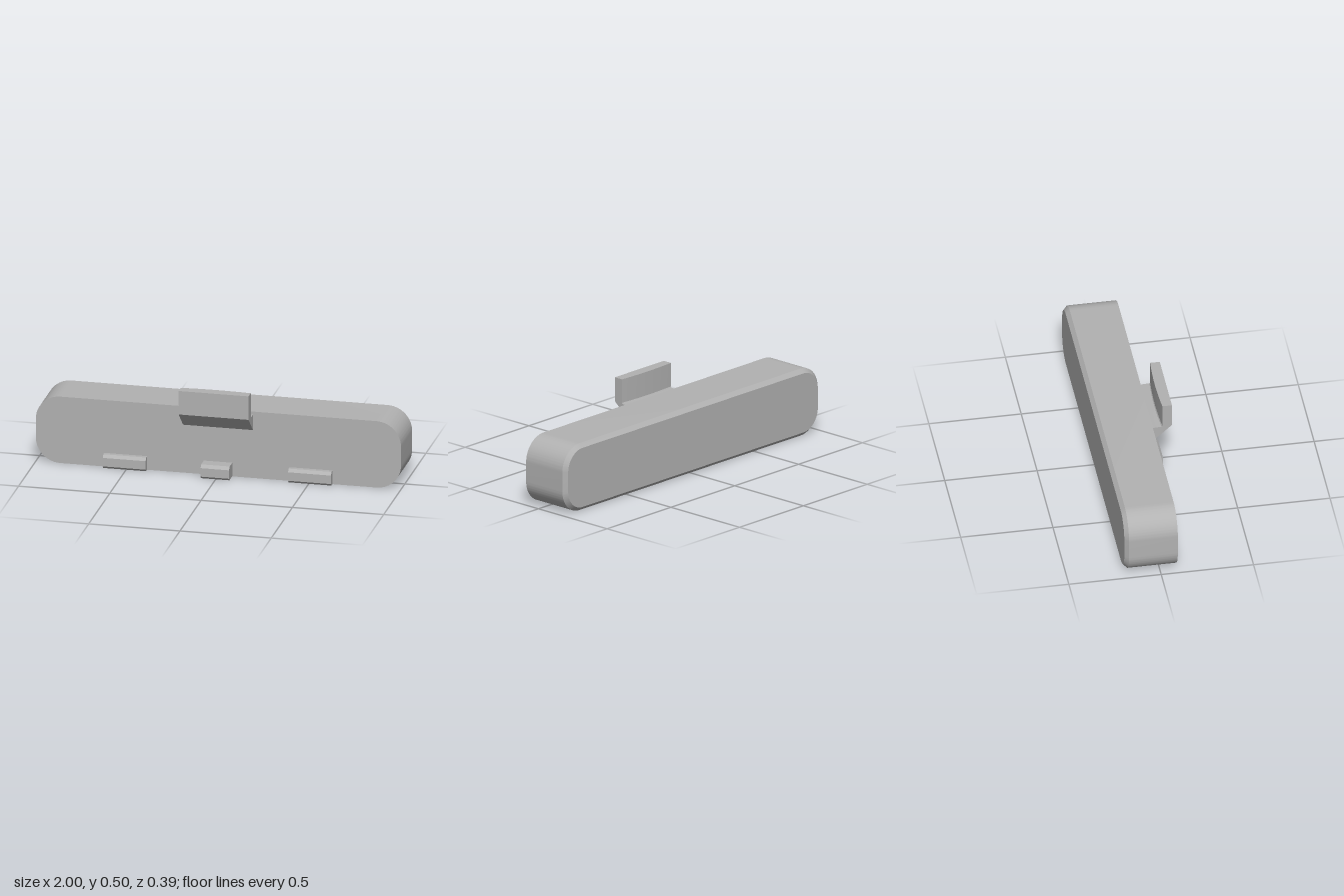
import * as THREE from 'three';
import { toCreasedNormals } from 'three/addons/utils/BufferGeometryUtils.js';

const grey = new THREE.MeshStandardMaterial({ color: 0xb2b2b2 });
grey.name = 'grey';

// Change every vertex of a geometry by a rule
function reshape(geometry, rule) {
  const pos = geometry.attributes.position;
  const v = new THREE.Vector3();
  for (let i = 0; i < pos.count; i++) {
    rule(v.fromBufferAttribute(pos, i));
    pos.setXYZ(i, v.x, v.y, v.z);
  }
  geometry.computeVertexNormals();
  return geometry;
}

// Sweep a side profile of [z, y] points along x
function sweepX(profile, x0, x1, steps = 1) {
  const shape = new THREE.Shape(profile.map(([z, y]) => new THREE.Vector2(-z, y)));
  return new THREE.ExtrudeGeometry(shape, { depth: x1 - x0, steps, bevelEnabled: false })
    .rotateY(Math.PI / 2)
    .translate(x0, 0, 0);
}

// Long rounded bar with a chamfered back rim
function bodyGeometry() {
  const w = 1, h = 0.188, r = 0.135, chamfer = 0.022, back = -0.196, front = 0.09;
  const shape = new THREE.Shape();
  shape.absarc(w - r, h - r, r, 0, Math.PI / 2);
  shape.absarc(r - w, h - r, r, Math.PI / 2, Math.PI);
  shape.absarc(r - w, r - h, r, Math.PI, Math.PI * 1.5);
  shape.absarc(w - r, r - h, r, Math.PI * 1.5, Math.PI * 2);
  const geometry = new THREE.ExtrudeGeometry(shape, {
    depth: 2, steps: 2, bevelEnabled: false, curveSegments: 16,
  });
  const inset = (r - chamfer) / r;
  reshape(geometry, (v) => {
    const layer = Math.round(v.z);
    if (layer === 0) {
      const cx = Math.sign(v.x) * (w - r), cy = Math.sign(v.y) * (h - r);
      v.x = cx + (v.x - cx) * inset;
      v.y = cy + (v.y - cy) * inset;
    }
    v.z = [back, back + chamfer, front][layer];
    v.y += 0.189;
  });
  return toCreasedNormals(geometry, 0.4);
}

// Upturned clip whose back face bows gently outward
function clipGeometry() {
  const geometry = sweepX([
    [0.08, 0.264], [0.09, 0.272], [0.135, 0.31], [0.197, 0.367], [0.197, 0.5],
    [0.137, 0.5], [0.137, 0.368], [0.133, 0.362], [0.09, 0.36], [0.08, 0.36],
  ], -0.193, 0.19, 16);
  reshape(geometry, (v) => {
    if (v.y > 0.361 && v.z < 0.15) v.z += 0.008 * (v.x / 0.19) ** 2;
  });
  return toCreasedNormals(geometry, 0.3);
}

// Small locating tab with chamfered front edges
function tabGeometry(x0, x1, z, topCut) {
  return sweepX([
    [0.08, 0.002], [z - 0.01, 0.002], [z, 0.014],
    [z, 0.062], [z - topCut, 0.078], [0.08, 0.078],
  ], x0, x1);
}

export function createModel() {
  const model = new THREE.Group();
  const add = (name, geometry) => {
    const mesh = new THREE.Mesh(geometry, grey);
    mesh.name = name;
    model.add(mesh);
  };
  add('body', bodyGeometry());
  add('topClip', clipGeometry());
  add('centreTab', tabGeometry(-0.08, 0.076, 0.168, 0.016));
  add('leftTab', tabGeometry(0.39, 0.625, 0.127, 0.014));
  add('rightTab', tabGeometry(-0.625, -0.39, 0.127, 0.014));
  return model;
}
